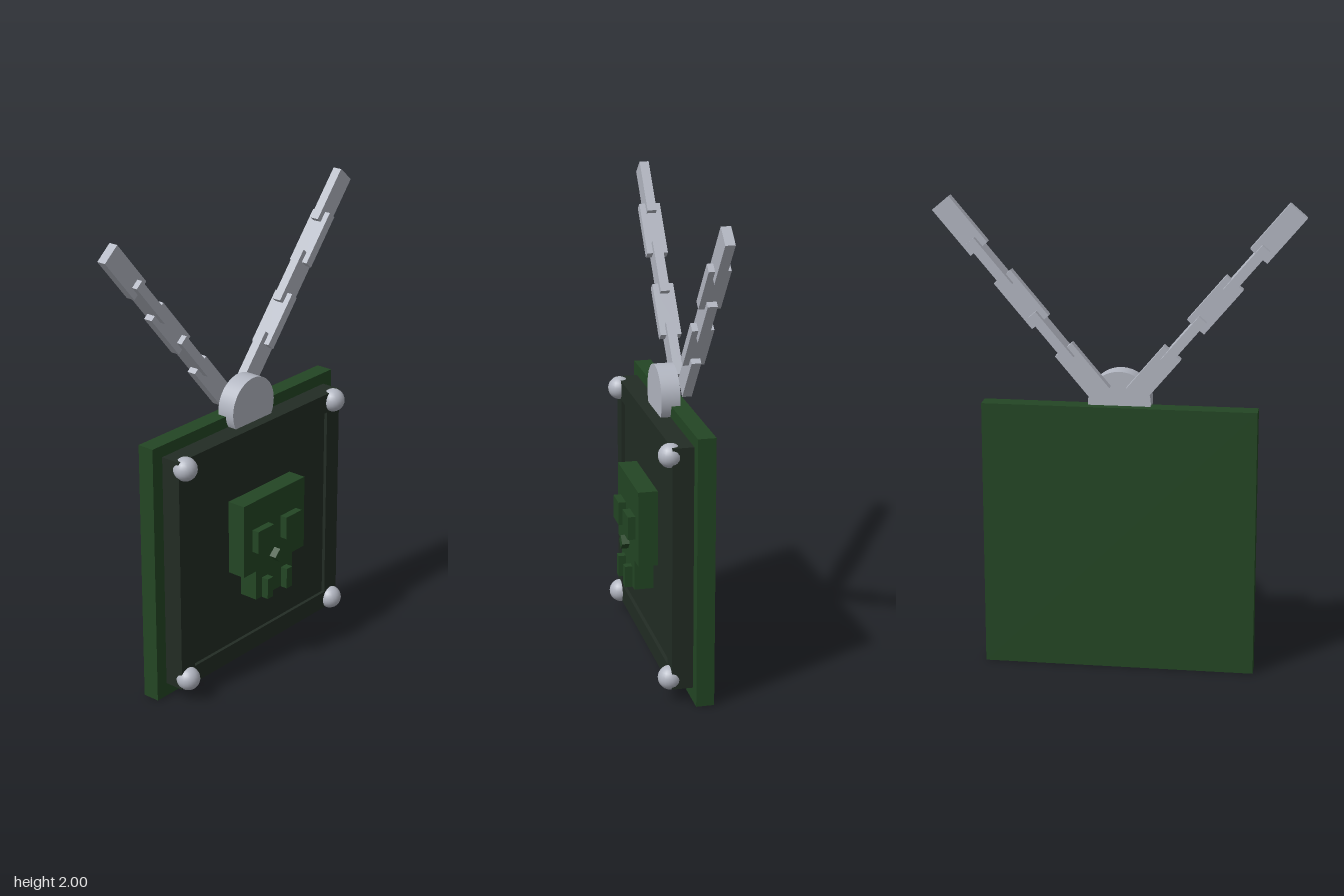
import * as THREE from 'three';

export function createModel() {
  const model = new THREE.Group();
  model.name = 'hangingSkullSign';

  const mat = (name, color) => {
    const m = new THREE.MeshStandardMaterial({ color });
    m.name = name;
    return m;
  };
  const green = mat('darkGreen', 0x234624);
  const dark = mat('blackGreen', 0x222c24);
  const metal = mat('paleMetal', 0xb2b6c1);

  const add = (name, geometry, material, x, y, z, parent = model) => {
    const mesh = new THREE.Mesh(geometry, material);
    mesh.name = name;
    mesh.position.set(x, y, z);
    parent.add(mesh);
    return mesh;
  };
  // Box given by its limits on each axis
  const box = (name, material, x0, x1, y0, y1, z0, z1, parent) =>
    add(name, new THREE.BoxGeometry(x1 - x0, y1 - y0, z1 - z0), material,
      (x0 + x1) / 2, (y0 + y1) / 2, (z0 + z1) / 2, parent);

  // Board and inset panel
  box('backBoard', green, -0.57, 0.57, 0, 1.14, -0.11, -0.035);
  box('panel', dark, -0.515, 0.515, 0.06, 1.09, -0.035, 0.038);

  // Raised frame around the panel
  box('frameTop', dark, -0.515, 0.515, 1.005, 1.09, 0.038, 0.053);
  box('frameBottom', dark, -0.515, 0.515, 0.06, 0.138, 0.038, 0.053);
  for (const s of [-1, 1]) {
    const bar = box('frameSide', dark, 0.433, 0.515, 0.138, 1.005, 0.038, 0.053);
    bar.position.x *= s;
  }

  // Corner studs
  const studGeometry = new THREE.SphereGeometry(0.05, 20, 14);
  for (const x of [-0.475, 0.475])
    for (const y of [0.098, 1.05]) add('stud', studGeometry, metal, x, y, 0.052);

  // Skull emblem
  const skull = new THREE.Group();
  skull.name = 'skull';
  model.add(skull);
  box('skullHead', green, -0.198, 0.198, 0.478, 0.803, 0.038, 0.12, skull);
  box('skullJaw', green, -0.12, 0.12, 0.345, 0.478, 0.038, 0.12, skull);
  for (const s of [-1, 1]) {
    const eye = box('eye', green, 0.04, 0.142, 0.578, 0.678, 0.11, 0.152, skull);
    const tooth = box('tooth', green, 0.045, 0.081, 0.343, 0.435, 0.11, 0.152, skull);
    eye.position.x *= s;
    tooth.position.x *= s;
  }
  const nose = add('nose', new THREE.BoxGeometry(0.044, 0.044, 0.042), green, 0, 0.517, 0.131, skull);
  nose.rotation.z = Math.PI / 4;

  // Round hanger at the top edge
  const hanger = add('hanger', new THREE.CylinderGeometry(0.13, 0.13, 0.08, 40), metal, 0, 1.154, -0.034);
  hanger.rotation.x = Math.PI / 2;

  // Two chains of overlapping links, every other link turned on edge
  const angle = THREE.MathUtils.degToRad(50);
  for (const s of [-1, 1]) {
    const chain = new THREE.Group();
    chain.name = s > 0 ? 'leftChain' : 'rightChain';
    chain.position.set(s * 0.145, 1.29, -0.107);
    chain.rotation.z = s > 0 ? angle : Math.PI - angle;
    model.add(chain);
    for (let i = 0; i < 5; i++) {
      const link = add('link', new THREE.BoxGeometry(0.24, 0.09, 0.04), metal, i * 0.1925, 0, 0, chain);
      if (i % 2) link.rotation.x = Math.PI / 2;
    }
  }

  return model;
}
